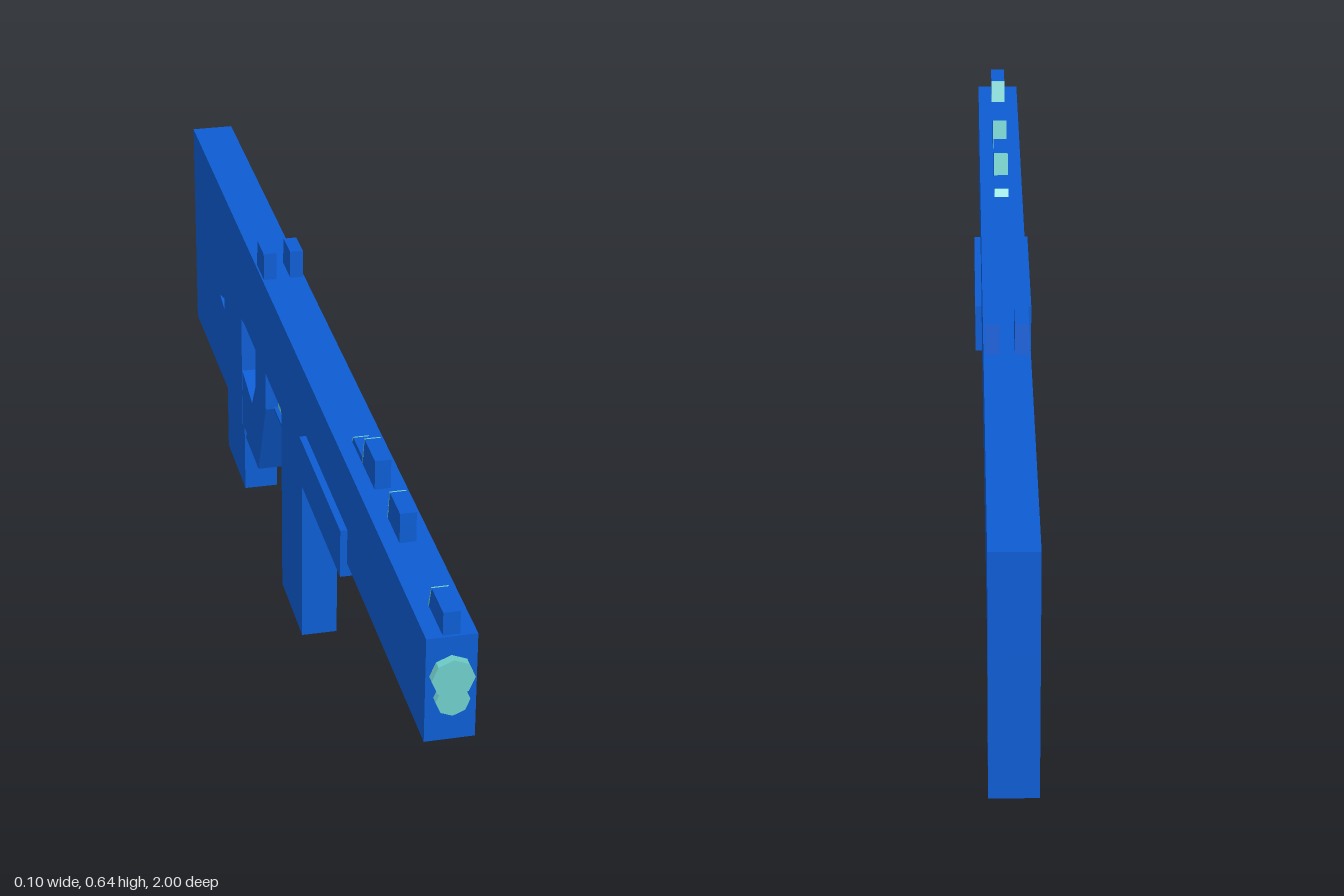
import * as THREE from 'three';

export function createModel() {
  const model = new THREE.Group();
  const blue = new THREE.MeshStandardMaterial({ color: 0x0d5cd2 });
  blue.name = 'blue';
  const teal = new THREE.MeshStandardMaterial({ color: 0x6ecdc9 });
  teal.name = 'teal';

  const add = (name, geometry, material) => {
    const mesh = new THREE.Mesh(geometry, material);
    mesh.name = name;
    model.add(mesh);
    return mesh;
  };
  // Box from its z and y ranges and its x range
  const box = (name, z0, z1, y0, y1, halfWidth, material = blue, x = 0) => {
    const mesh = add(name, new THREE.BoxGeometry(halfWidth * 2, y1 - y0, z1 - z0), material);
    mesh.position.set(x, (y0 + y1) / 2, (z0 + z1) / 2);
  };
  // Side outline of [z, y] points, extruded across x
  const outline = (points) => points.map(([z, y]) => new THREE.Vector2(z, y));
  const profile = (name, points, halfWidth, material = blue, hole, x = 0) => {
    const shape = new THREE.Shape(outline(points));
    if (hole) shape.holes.push(new THREE.Path(outline(hole)));
    const geometry = new THREE.ExtrudeGeometry(shape, { depth: halfWidth * 2, bevelEnabled: false });
    geometry.translate(0, 0, -halfWidth).rotateY(-Math.PI / 2);
    const mesh = add(name, geometry, material);
    mesh.position.x = x;
    return mesh;
  };

  // Long upper body and fore-end cover
  box('body', -1, 0.985, 0.4, 0.585, 0.04);
  box('foreEndCover', 0.13, 0.46, 0.375, 0.465, 0.052);

  // Stock, with a small see-through notch, widening towards the back
  const stock = profile('stock', [[-0.5, 0.15], [-0.5, 0.385], [-0.43, 0.4], [-0.43, 0.41], [-1, 0.41], [-1, 0.15]],
    0.04, blue, [[-0.68, 0.32], [-0.68, 0.345], [-0.725, 0.332]]);
  const p = stock.geometry.attributes.position;
  for (let i = 0; i < p.count; i++) {
    const t = Math.min(1, (-p.getZ(i) - 0.43) / 0.57);
    p.setX(i, p.getX(i) * (0.91 + 0.09 * t));
  }
  stock.geometry.computeVertexNormals();

  // Grip sweeping back into the stock
  profile('grip', [[-0.26, 0.41], [-0.26, 0.31], [-0.34, 0.135], [-0.47, 0.135], [-0.46, 0.15], [-0.51, 0.15],
    [-0.51, 0.273], [-0.4, 0.25], [-0.36, 0.31], [-0.36, 0.41]], 0.036);

  // Front and rear magazines
  box('frontMagazine', -0.125, 0.06, 0, 0.41, 0.033);
  box('rearMagazine', -0.685, -0.5, 0, 0.16, 0.033);

  // Trigger and its thin guard
  box('trigger', -0.262, -0.22, 0.313, 0.41, 0.012, teal);
  box('guardBottom', -0.265, -0.15, 0.308, 0.314, 0.02);
  box('guardFront', -0.156, -0.15, 0.308, 0.41, 0.02);

  // Top sights with teal sloped rear faces: [front z, rear z, rear top z, top y]
  const sights = [[0.98, 0.895, 0.91, 0.625], [0.71, 0.63, 0.642, 0.638], [0.54, 0.453, 0.466, 0.638], [0.455, 0.375, 0.385, 0.597]];
  for (const [front, rear, rearTop, top] of sights) {
    profile('sight', [[front, 0.58], [front, top], [rearTop, top], [rear, 0.58]], 0.0135);
    profile('sightRearFace', [[rear, 0.585], [rearTop, top], [rearTop - 0.003, top], [rear - 0.003, 0.585]], 0.0135, teal);
  }

  // Paired rear sight posts
  for (const side of [-1, 1]) {
    profile('rearSightPost', [[-0.26, 0.58], [-0.26, 0.638], [-0.32, 0.638], [-0.328, 0.58]],
      0.012, blue, null, side * 0.025);
  }

  // Two overlapping muzzle discs
  for (const [y, radius, length] of [[0.518, 0.034, 0.015], [0.479, 0.027, 0.0145]]) {
    const disc = new THREE.CylinderGeometry(radius, radius, length, 8).toNonIndexed();
    disc.computeVertexNormals();
    disc.rotateX(Math.PI / 2);
    add('muzzle', disc, teal).position.set(0, y, 0.985 + length / 2);
  }
  return model;
}
